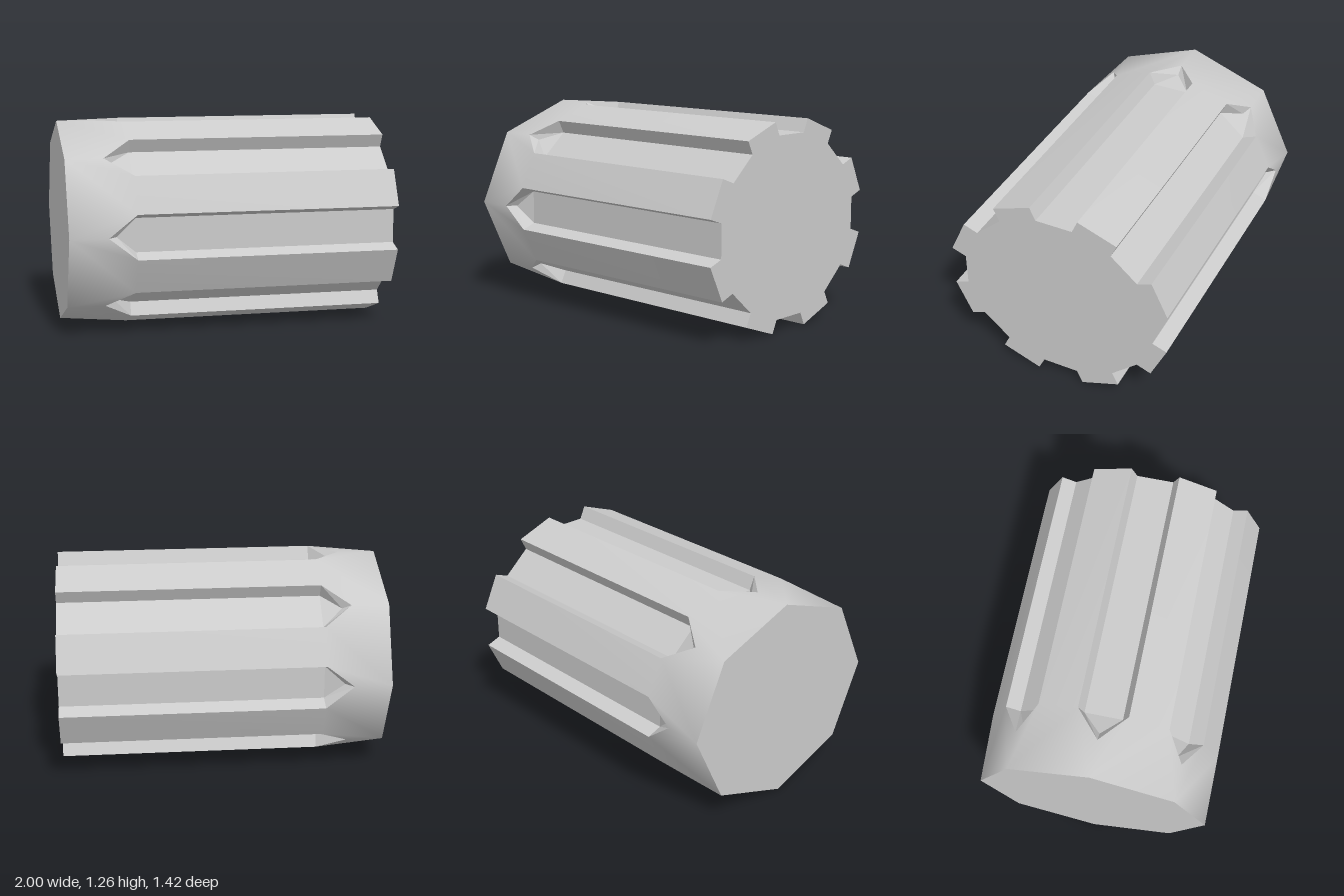
import * as THREE from 'three';

const SIDES = 8, RY = 0.63, RZ = 0.711;        // oval body: half height, half depth
const BACK = -1, FRONT = 1, SHOULDER = -0.6;   // the grooves run from SHOULDER to FRONT
const LIP = { r: 1, t: 0.214 };                // groove edge: radial and sideways offset
const FLOOR = { r: 0.873, t: 0.163 };          // groove bottom corner

// Point in the frame of groove k: x along the body, r outward, t sideways
function point(k, x, r, t) {
  const a = (k * Math.PI * 2) / SIDES;
  return [
    x,
    RY * (1 + r * Math.cos(a) - t * Math.sin(a)),
    RZ * (r * Math.sin(a) + t * Math.cos(a)),
  ];
}
const lip = (k, x, s) => point(k, x, LIP.r, s * LIP.t);
const floor = (k, x, s) => point(k, x, FLOOR.r, s * FLOOR.t);
const corner = (k) => point(k, BACK, 1, 0);
const tip = (k) => point(k, -0.77, 1, 0);
const floorTip = (k) => point(k, -0.72, 0.93, 0);

// Mesh from convex polygons; smooth meshes share equal points
function polyMesh(name, polygons, smooth) {
  const positions = [], index = [], seen = new Map();
  const add = (p) => {
    const key = p.map((v) => Math.round(v * 1e4)).join();
    if (smooth && seen.has(key)) return seen.get(key);
    const id = positions.length / 3;
    positions.push(...p);
    seen.set(key, id);
    return id;
  };
  for (const polygon of polygons) {
    const ids = polygon.map(add);
    for (let i = 1; i < ids.length - 1; i++) index.push(ids[0], ids[i], ids[i + 1]);
  }
  const geometry = new THREE.BufferGeometry();
  geometry.setAttribute('position', new THREE.Float32BufferAttribute(positions, 3));
  geometry.setIndex(index);
  geometry.computeVertexNormals();
  const material = new THREE.MeshStandardMaterial({ color: 0xcccccc, flatShading: !smooth });
  const mesh = new THREE.Mesh(geometry, material);
  mesh.name = name;
  return mesh;
}

export function createModel() {
  const group = new THREE.Group();
  group.name = 'flutedDrum';
  const shell = [], frontOutline = [], backOutline = [];

  for (let k = 0; k < SIDES; k++) {
    const n = (k + 1) % SIDES;

    // Outer skin between this groove and the next
    shell.push(
      [corner(k), corner(n), lip(n, SHOULDER, -1), lip(k, SHOULDER, 1)],
      [lip(k, SHOULDER, 1), lip(n, SHOULDER, -1), lip(n, FRONT, -1), lip(k, FRONT, 1)],
      [corner(k), lip(k, SHOULDER, 1), tip(k)],
      [corner(n), tip(n), lip(n, SHOULDER, -1)],
    );

    // Groove: floor, side walls and pointed end
    group.add(polyMesh('groove' + (k + 1), [
      [floor(k, SHOULDER, -1), floor(k, SHOULDER, 1), floor(k, FRONT, 1), floor(k, FRONT, -1)],
      [floorTip(k), floor(k, SHOULDER, 1), floor(k, SHOULDER, -1)],
      [floor(k, SHOULDER, 1), lip(k, SHOULDER, 1), lip(k, FRONT, 1), floor(k, FRONT, 1)],
      [lip(k, SHOULDER, -1), floor(k, SHOULDER, -1), floor(k, FRONT, -1), lip(k, FRONT, -1)],
      [floorTip(k), tip(k), lip(k, SHOULDER, 1), floor(k, SHOULDER, 1)],
      [tip(k), floorTip(k), floor(k, SHOULDER, -1), lip(k, SHOULDER, -1)],
    ], false));

    frontOutline.push(lip(k, FRONT, -1), floor(k, FRONT, -1), floor(k, FRONT, 1), lip(k, FRONT, 1));
    backOutline.unshift(corner(k));
  }
  group.add(polyMesh('outerSkin', shell, true));

  // End caps as fans around the axis
  const fan = (outline, x) =>
    outline.map((p, i) => [[x, RY, 0], p, outline[(i + 1) % outline.length]]);
  group.add(polyMesh('groovedEndCap', fan(frontOutline, FRONT), false));
  group.add(polyMesh('plainEndCap', fan(backOutline, BACK), false));
  return group;
}
